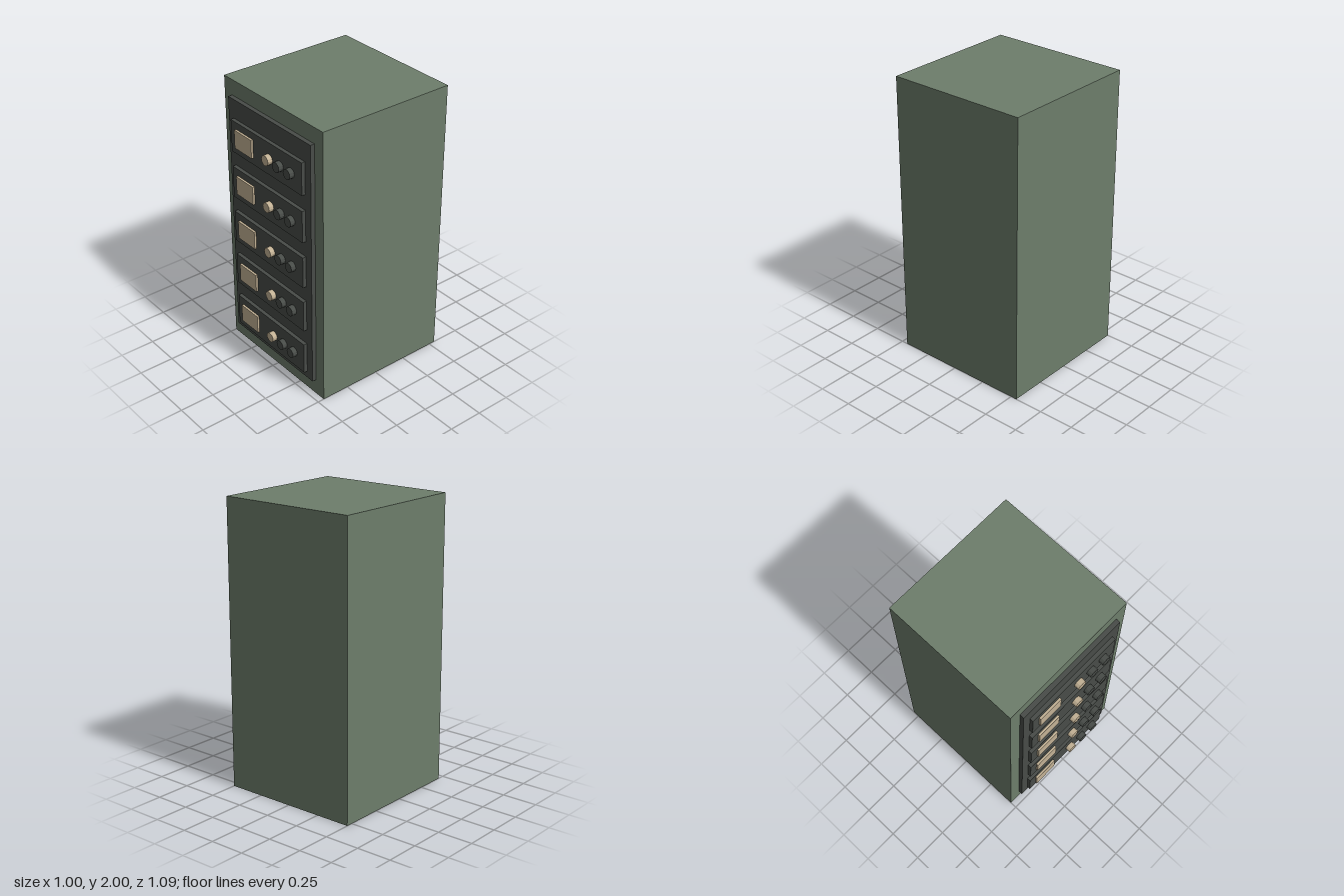
import * as THREE from 'three';

const paint = (name, color) => Object.assign(new THREE.MeshStandardMaterial({ color }), { name });

export function createModel() {
  const green = paint('cabinet green', 0x6d7d6b);
  const dark = paint('panel charcoal', 0x484c48);
  const tan = paint('display tan', 0xc3b295);

  const model = new THREE.Group();
  model.name = 'equipmentCabinet';

  // Box centred at x, y and reaching from depth z0 to z1
  const slab = (parent, name, mat, w, h, x, y, z0, z1) => {
    const mesh = new THREE.Mesh(new THREE.BoxGeometry(w, h, z1 - z0), mat);
    mesh.name = name;
    mesh.position.set(x, y, (z0 + z1) / 2);
    parent.add(mesh);
  };

  // Faceted knob, its axis along z
  const knobGeometry = new THREE.CylinderGeometry(0.035, 0.035, 0.035, 12)
    .rotateX(Math.PI / 2).toNonIndexed();
  knobGeometry.computeVertexNormals();
  const knob = (parent, name, mat, x) => {
    const mesh = new THREE.Mesh(knobGeometry, mat);
    mesh.name = name;
    mesh.position.set(x, 0, 0.5275);
    parent.add(mesh);
  };

  // Cabinet and recessed-looking front panel
  slab(model, 'cabinetBody', green, 1, 2, 0, 1, -0.545, 0.453);
  slab(model, 'frontPanel', dark, 0.84, 1.775, 0, 1.003, 0.453, 0.484);

  // Five identical rack units, each with a display and three knobs
  for (let i = 0; i < 5; i++) {
    const unit = new THREE.Group();
    unit.name = `rackUnit${i + 1}`;
    unit.position.y = 0.283 + i * 0.34;
    slab(unit, 'unitPlate', dark, 0.73, 0.228, 0, 0, 0.484, 0.51);
    slab(unit, 'display', tan, 0.18, 0.13, -0.22, 0, 0.51, 0.525);
    knob(unit, 'selectorKnob', tan, 0.038);
    knob(unit, 'innerKnob', dark, 0.148);
    knob(unit, 'outerKnob', dark, 0.258);
    model.add(unit);
  }
  return model;
}
